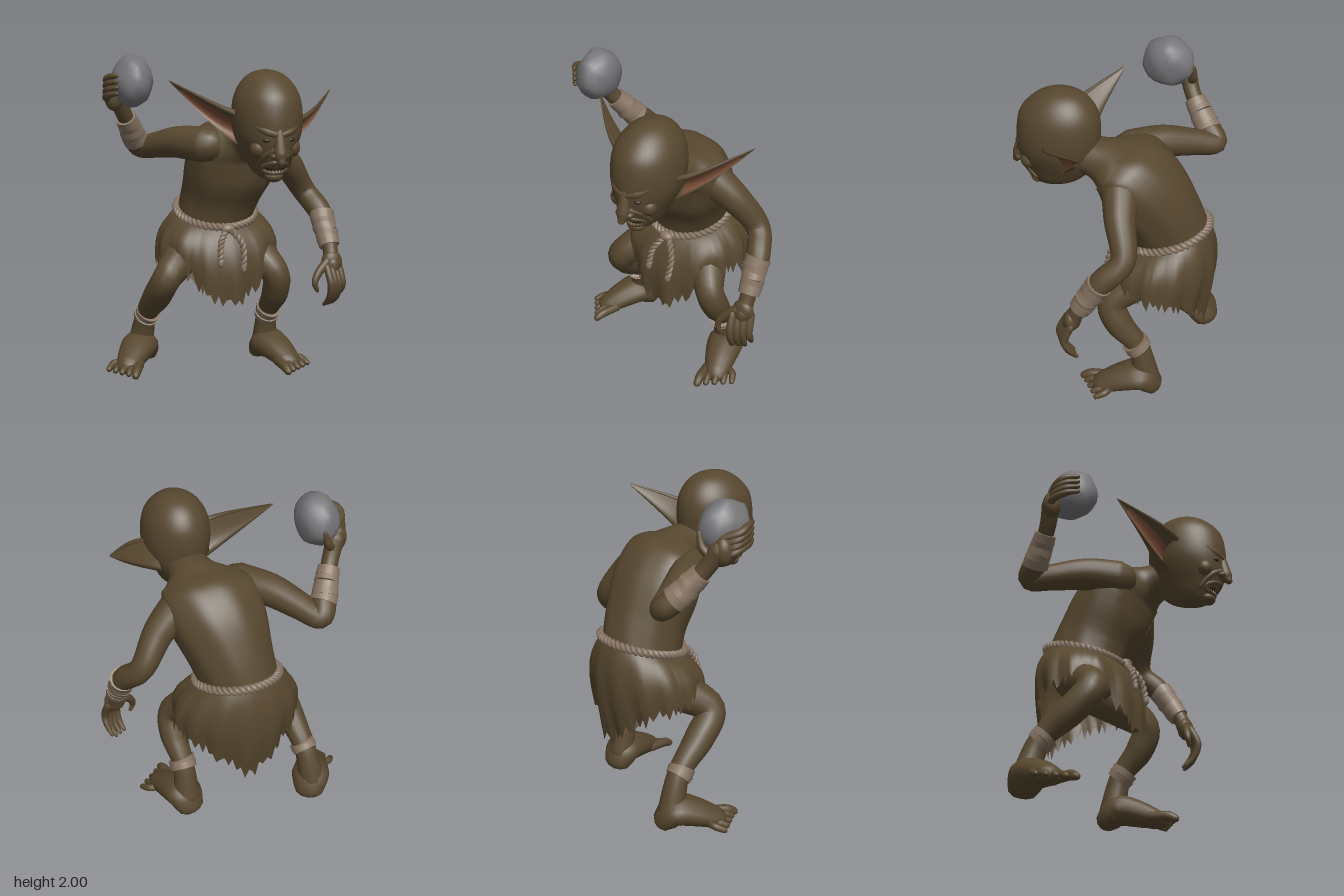
import * as THREE from 'three';
import { mergeVertices } from 'three/addons/utils/BufferGeometryUtils.js';

const mat = (name, color, extra = {}) => Object.assign(new THREE.MeshStandardMaterial({ color, ...extra }), { name });
const V = (x, y, z) => new THREE.Vector3(x, y, z);
const TAU = Math.PI * 2;

// Smooth interpolation through rows of numbers, t = 0..1
function spline(k, t) {
  const f = t * (k.length - 1), i = Math.min(Math.floor(f), k.length - 2), u = f - i;
  return k[i].map((b, c) => {
    const a = k[Math.max(i - 1, 0)][c], d = k[i + 1][c], e = k[Math.min(i + 2, k.length - 1)][c];
    return b + 0.5 * u * (d - a + u * (2 * a - 5 * b + 4 * d - e + u * (3 * (b - d) + e - a)));
  });
}
// Surface from rows of points; wrap joins the last column to the first
function grid(rows, cols, wrap, fn) {
  const pos = [], idx = [];
  for (let i = 0; i < rows; i++) for (let j = 0; j < cols; j++) pos.push(...fn(i, j).toArray());
  for (let i = 0; i < rows - 1; i++) for (let j = 0; j < (wrap ? cols : cols - 1); j++) {
    const a = i * cols + j, b = i * cols + (j + 1) % cols;
    idx.push(a, b, a + cols, b, b + cols, a + cols);
  }
  const g = new THREE.BufferGeometry().setIndex(idx);
  g.setAttribute('position', new THREE.Float32BufferAttribute(pos, 3));
  g.computeVertexNormals();
  return g;
}
// Point on a tilted elliptical ring [x, y, z, rx, rz, tilt]; angle 0 is the front
function ringPoint([x, y, z, rx, rz, tilt], a, s = 1) {
  const d = Math.cos(a) * rz * s;
  return V(x + Math.sin(a) * rx * s, y - d * Math.sin(tilt), z + d * Math.cos(tilt));
}
const loft = (keys, rows) => grid(rows, 40, true, (i, j) => ringPoint(spline(keys, i / (rows - 1)), j / 40 * TAU));
// Rounded limb through [x, y, z, radius] stations
function limb(keys, cols = 16) {
  const n = (keys.length - 1) * 6, st = [];
  for (let i = 0; i <= n; i++) { const [x, y, z, r] = spline(keys, i / n); st.push({ p: V(x, y, z), r }); }
  st.forEach((s, i) => { s.t = st[Math.min(i + 1, n)].p.clone().sub(st[Math.max(i - 1, 0)].p).normalize(); });
  const cap = (s, sign) => [0.005, 0.45, 0.8].map((q) => ({
    p: s.p.clone().addScaledVector(s.t, sign * s.r * Math.sqrt(1 - q * q)), r: s.r * q, t: s.t }));
  const all = [...cap(st[0], -1), ...st, ...cap(st[n], 1).reverse()];
  let nrm = Math.abs(all[0].t.x) < 0.8 ? V(1, 0, 0) : V(0, 0, 1);
  for (const s of all) {
    s.n = nrm = nrm.clone().addScaledVector(s.t, -nrm.dot(s.t)).normalize();
    s.b = s.t.clone().cross(nrm);
  }
  return grid(all.length, cols, true, (i, j) => {
    const s = all[i], a = j / cols * TAU;
    return s.p.clone().addScaledVector(s.n, Math.cos(a) * s.r).addScaledVector(s.b, Math.sin(a) * s.r);
  });
}

export function createModel() {
  const brown = mat('brown skin and cloth', 0x57472f);
  const rag = mat('brown ragged cloth', 0x57472f, { side: THREE.DoubleSide });
  const wrapMat = mat('pale wrapping', 0x877463), stoneMat = mat('grey stone', 0x757578);
  const earMat = mat('reddish inner ear', 0x7a4e39, { side: THREE.DoubleSide });
  const dark = mat('dark mouth', 0x2e2419), bone = mat('dull teeth', 0x7a6c50);
  const model = new THREE.Group();
  const add = (name, geo, m = brown, parent = model) => {
    const o = new THREE.Mesh(geo, m); o.name = name; parent.add(o); return o;
  };
  const ball = (name, p, r, m = brown) => {
    const o = add(name, new THREE.SphereGeometry(1, 20, 14), m); o.position.set(...p); o.scale.set(...r);
  };

  // Torso, leaning forward into the neck, and an open ragged vest
  const body = [[0, 0.74, -0.32, 0.12, 0.12, 0.1], [0, 0.86, -0.33, 0.23, 0.22, 0.15], [0, 1.0, -0.32, 0.228, 0.235, 0.28],
    [0.03, 1.14, -0.27, 0.245, 0.235, 0.4], [0.06, 1.31, -0.18, 0.28, 0.24, 0.6], [0.075, 1.44, -0.09, 0.285, 0.205, 0.8],
    [0.085, 1.48, -0.01, 0.25, 0.15, 1.0], [0.12, 1.51, 0.07, 0.15, 0.125, 1.15], [0.125, 1.53, 0.18, 0.12, 0.11, 1.2]];
  add('torso', loft(body, 48));
  add('vest', grid(26, 61, false, (i, j) => {
    const t = i / 25, gap = 0.08 + 0.6 * t + 0.05 * Math.sin(i * 2.1), a = gap + (TAU - 2 * gap) * j / 60;
    return ringPoint(spline(body.slice(2, 7), t), a, 1.045 + 0.01 * Math.sin(a * 9 + t * 5));
  }), rag);

  // Ragged skirt, longest at the back and hanging between the legs
  const hemKeys = [[0.45], [0.55], [0.73], [0.72], [0.69], [0.64], [0.55], [0.4]];
  const belt = [0, 1.0, -0.32, 0.238, 0.246, 0.28];
  add('skirt', grid(14, 96, true, (i, j) => {
    const u = 1 - i / 13, a = j / 96 * TAU, f = Math.min(a, TAU - a) / Math.PI, sx = Math.sin(a), cz = Math.cos(a);
    const tear = 0.04 * [1, -0.6, 0.3, -1, 0.8, -0.2, 0.6, -0.9][(j * 5 + (j >> 3)) % 8];
    const hem = V(sx * 0.39, spline(hemKeys, f)[0] + tear * u, -0.3 + cz * (cz > 0 ? 0.33 : 0.265));
    const out = Math.sin(Math.PI * u ** 0.8) * 0.058 + u * 0.012 * Math.sin(a * 13);
    return ringPoint(belt, a).lerp(hem, u).add(V(sx * out, 0, cz * out));
  }), rag);

  // Twisted rope: two strands wound around a path
  function rope(name, at, turns, r, n, closed) {
    for (const ph of [0, Math.PI]) {
      const pts = Array.from({ length: n }, (_, i) => {
        const t = i / (closed ? n : n - 1), w = t * turns * TAU + ph, p = at(t), d = at(t + 0.005).sub(p).normalize();
        const side = V(0.05, closed ? 1 : 0.1, closed ? 0.3 : 1).cross(d).normalize();
        return p.addScaledVector(side, Math.cos(w) * r).addScaledVector(d.cross(side), Math.sin(w) * r);
      });
      add(name, new THREE.TubeGeometry(new THREE.CatmullRomCurve3(pts, closed), n * 2, r * 1.15, 6, closed), wrapMat);
    }
  }
  rope('rope belt', (t) => ringPoint(belt, t * TAU, 1.05), 24, 0.013, 160, true);
  for (const k of [[[-0.01, 0.92, -0.04], [-0.06, 0.84, 0.02], [-0.07, 0.73, 0.05]],
    [[0.02, 0.92, -0.04], [0.08, 0.83, 0.02], [0.075, 0.69, 0.055]]]) {
    rope('rope tail', (t) => V(...spline(k, t)), 4, 0.01, 30, false);
    ball('rope end', k[2], [0.018, 0.028, 0.018], wrapMat);
  }
  ball('belt knot', [0, 0.925, -0.045], [0.045, 0.03, 0.035], wrapMat);

  // Head
  add('head', loft([[0.13, 1.3, 0.4, 0.0003, 0.0003, 0], [0.13, 1.31, 0.38, 0.055, 0.08, 0], [0.13, 1.35, 0.345, 0.095, 0.145, 0],
    [0.13, 1.42, 0.335, 0.13, 0.205, 0], [0.13, 1.5, 0.33, 0.17, 0.235, 0], [0.13, 1.58, 0.325, 0.197, 0.247, 0],
    [0.13, 1.68, 0.32, 0.203, 0.25, 0], [0.13, 1.78, 0.315, 0.187, 0.232, 0], [0.13, 1.86, 0.305, 0.142, 0.175, 0],
    [0.13, 1.91, 0.3, 0.08, 0.1, 0], [0.13, 1.93, 0.3, 0.0003, 0.0003, 0]], 50));
  add('nose', limb([[0.13, 1.6, 0.545, 0.028], [0.13, 1.53, 0.562, 0.034], [0.13, 1.46, 0.576, 0.04], [0.13, 1.425, 0.594, 0.024]]));
  ball('chin', [0.13, 1.325, 0.455], [0.055, 0.035, 0.045]);
  for (const s of [-1, 1]) {
    const X = (d) => 0.13 + s * d;
    ball('nostril', [X(0.034), 1.455, 0.56], [0.024, 0.02, 0.028]);
    ball('cheek', [X(0.095), 1.49, 0.475], [0.055, 0.055, 0.05]);
    ball('eye', [X(0.07), 1.545, 0.54], [0.026, 0.013, 0.02], dark);
    add('brow', limb([[X(0.015), 1.575, 0.56, 0.02], [X(0.07), 1.592, 0.54, 0.024], [X(0.125), 1.625, 0.495, 0.018]], 10));
    add('cheek fold', limb([[X(0.03), 1.485, 0.555, 0.018], [X(0.075), 1.45, 0.505, 0.02], [X(0.09), 1.375, 0.44, 0.014]], 8));
  }
  // Snarling mouth
  const lip = (a) => {
    const x = Math.cos(a) * 0.073;
    return V(0.13 + x, 1.382 + Math.sin(a) * 0.034, 0.512 + Math.sin(a) * 0.022 - 8 * x * x);
  };
  const lipPath = new THREE.CatmullRomCurve3(Array.from({ length: 20 }, (_, i) => lip(i / 20 * TAU)), true);
  add('lips', new THREE.TubeGeometry(lipPath, 48, 0.015, 8, true));
  ball('mouth', [0.13, 1.382, 0.467], [0.07, 0.032, 0.042], dark);
  for (let i = -3; i <= 3; i++) for (const s of [-1, 1]) {
    const x = i * 0.018, tooth = add('tooth', new THREE.ConeGeometry(0.009, 0.03, 6), bone);
    tooth.position.set(0.13 + x, 1.382 + s * 0.016, 0.51 + s * 0.01 - 8 * x * x);
    tooth.rotation.x = s > 0 ? Math.PI : 0;
  }

  // Long pointed ears: a cupped shell with a coloured inner face
  function ear(s, tip, lift) {
    const curve = (a, b) => new THREE.QuadraticBezierCurve3(V(0.13 + s * a[0], a[1], a[2]), V(0.13 + s * b[0], b[1], b[2]), tip);
    const up = curve([0.17, 1.62 + lift, 0.34], [0.29, 1.665 + lift, 0.33]);
    const low = curve([0.14, 1.45 + lift * 0.5, 0.28], [0.31, 1.545 + lift, 0.2]);
    const at = (t, w, depth) => up.getPoint(t).lerp(low.getPoint(t), (w + 1) / 2).add(V(0, 0, -depth * (1 - w * w) * (1 - t)));
    for (const d of [0.15, 0.08]) add('ear shell', grid(15, 13, false, (i, j) => at(i / 14, j / 6 - 1, d)), rag);
    add('inner ear', grid(15, 11, false, (i, j) => at(0.08 + i / 14 * 0.77, -0.5 + j / 10 * 1.35, 0.08).add(V(0, 0, 0.005))), earMat);
    add('ear rim', limb([0, 0.3, 0.6, 0.97].map((t) => [...up.getPoint(t).toArray(), 0.018 * (1 - t) + 0.003]), 8));
  }
  ear(1, V(0.64, 1.78, 0.02), 0);
  ear(-1, V(-0.4, 1.86, 0.07), 0.05);

  // Overlapping wrapped bands between two points
  function wraps(name, a, b, r0, r1, n) {
    const A = V(...a), d = V(...b).sub(A);
    for (let i = 0; i < n; i++) {
      const t = (i + 0.5) / n, r = r0 + (r1 - r0) * t;
      const o = add(name, new THREE.CylinderGeometry(r, r + 0.006, d.length() / n * 1.35, 20), wrapMat);
      o.position.copy(A).addScaledVector(d, t);
      o.quaternion.setFromUnitVectors(V(0, 1, 0), d.clone().normalize());
      o.rotateX(0.13 * Math.sin(i * 2.4)).rotateZ(0.13 * Math.cos(i * 1.9));
    }
  }
  // Arms and hands
  add('left arm', limb([[0.27, 1.42, -0.1, 0.115], [0.42, 1.3, -0.14, 0.092], [0.55, 1.12, -0.2, 0.074],
    [0.622, 1.0, -0.1, 0.073], [0.645, 0.88, -0.01, 0.057], [0.645, 0.77, 0.05, 0.048], [0.64, 0.68, 0.09, 0.055]]));
  wraps('left wrist wrap', [0.63, 0.98, -0.08], [0.645, 0.8, 0.03], 0.075, 0.064, 5);
  add('right arm', limb([[-0.13, 1.45, -0.04, 0.115], [-0.26, 1.455, -0.2, 0.1], [-0.37, 1.42, -0.37, 0.082], [-0.445, 1.395, -0.49, 0.068],
    [-0.495, 1.46, -0.43, 0.073], [-0.55, 1.56, -0.35, 0.053], [-0.6, 1.65, -0.29, 0.05], [-0.645, 1.75, -0.25, 0.055]]));
  wraps('right wrist wrap', [-0.493, 1.455, -0.43], [-0.573, 1.6, -0.32], 0.077, 0.062, 5);
  ball('left palm', [0.642, 0.7, 0.085], [0.068, 0.075, 0.045]);
  ball('right palm', [-0.66, 1.74, -0.235], [0.06, 0.085, 0.055]);
  for (let k = 0; k < 4; k++) {
    const x = 0.595 + k * 0.032, e = k === 3 ? 0.03 : 0, y = 1.71 + k * 0.035;
    add('left finger', limb([[x, 0.68, 0.13 - k * 0.018, 0.024], [x + 0.012, 0.58, 0.175 - k * 0.02, 0.024],
      [x + 0.012, 0.49 + e, 0.15 - k * 0.02, 0.02], [x - 0.005, 0.435 + e, 0.1 - k * 0.018, 0.012]], 10));
    add('right finger', limb([[-0.655, y, -0.24, 0.024], [-0.715, y + 0.03, -0.2 + k * 0.01, 0.024],
      [-0.712, y + 0.055, -0.11, 0.021], [-0.68, y + 0.065, -0.05, 0.013]], 10));
  }
  add('left thumb', limb([[0.61, 0.71, 0.1, 0.03], [0.54, 0.65, 0.13, 0.026], [0.508, 0.59, 0.15, 0.02], [0.525, 0.54, 0.15, 0.012]], 10));
  add('right thumb', limb([[-0.62, 1.7, -0.27, 0.03], [-0.57, 1.75, -0.305, 0.026], [-0.545, 1.83, -0.31, 0.013]], 10));

  // Lumpy stone held aloft
  const rock = new THREE.IcosahedronGeometry(1, 3), rp = rock.attributes.position;
  for (let i = 0; i < rp.count; i++) {
    const p = V().fromBufferAttribute(rp, i), n = 1 + 0.03 * Math.sin(p.x * 6 + p.y * 4) + 0.03 * Math.sin(p.z * 7 - p.y * 5);
    rp.setXYZ(i, p.x * n * 0.123, p.y * n * 0.157, p.z * n * 0.16);
  }
  ['normal', 'uv'].forEach((k) => rock.deleteAttribute(k));
  const stone = mergeVertices(rock);
  stone.computeVertexNormals();
  add('stone', stone, stoneMat).position.set(-0.565, 1.84, -0.15);

  // Legs and anklets
  add('left leg', limb([[0.12, 0.83, -0.33, 0.14], [0.22, 0.735, -0.18, 0.12], [0.315, 0.62, -0.06, 0.09],
    [0.335, 0.48, -0.11, 0.085], [0.32, 0.32, -0.23, 0.066], [0.32, 0.1, -0.28, 0.085]]));
  add('right leg', limb([[-0.12, 0.83, -0.33, 0.14], [-0.25, 0.735, -0.21, 0.12], [-0.375, 0.63, -0.09, 0.092],
    [-0.415, 0.49, -0.2, 0.09], [-0.45, 0.32, -0.38, 0.068], [-0.474, 0.1, -0.45, 0.085]]));
  wraps('left anklet', [0.322, 0.35, -0.205], [0.32, 0.3, -0.24], 0.077, 0.08, 2);
  wraps('right anklet', [-0.443, 0.345, -0.35], [-0.452, 0.305, -0.385], 0.075, 0.078, 2);
  // Broad feet with flat soles
  function foot(name, x, z, yaw, s) {
    const g = new THREE.Group();
    g.name = name; g.position.set(x, 0, z); g.rotation.y = yaw; model.add(g);
    const flat = (part, keys, w) => {
      const geo = limb(keys, 14), p = geo.attributes.position;
      for (let i = 0; i < p.count; i++) p.setXYZ(i, p.getX(i) * w, Math.max(0, p.getY(i)), p.getZ(i));
      geo.computeVertexNormals();
      add(part, geo, brown, g);
    };
    flat('sole', [[0, 0.06, -0.13, 0.078], [0, 0.11, -0.07, 0.092], [0, 0.085, 0.05, 0.08], [0, 0.04, 0.17, 0.06]], 1.3);
    for (let k = 0; k < 5; k++) {
      const tx = s * (-0.078 + k * 0.043), end = 0.285 - k * 0.02, r = k ? 0.023 : 0.03;
      flat('toe', [[tx * 0.85, 0.045, 0.13, r], [tx * 1.1, 0.04, end - 0.05, r], [tx * 1.2, 0.02, end, r * 0.8]], 1);
    }
  }
  foot('left foot', 0.355, -0.18, 0.3, 1);
  foot('right foot', -0.52, -0.36, -0.55, -1);
  return model;
}
